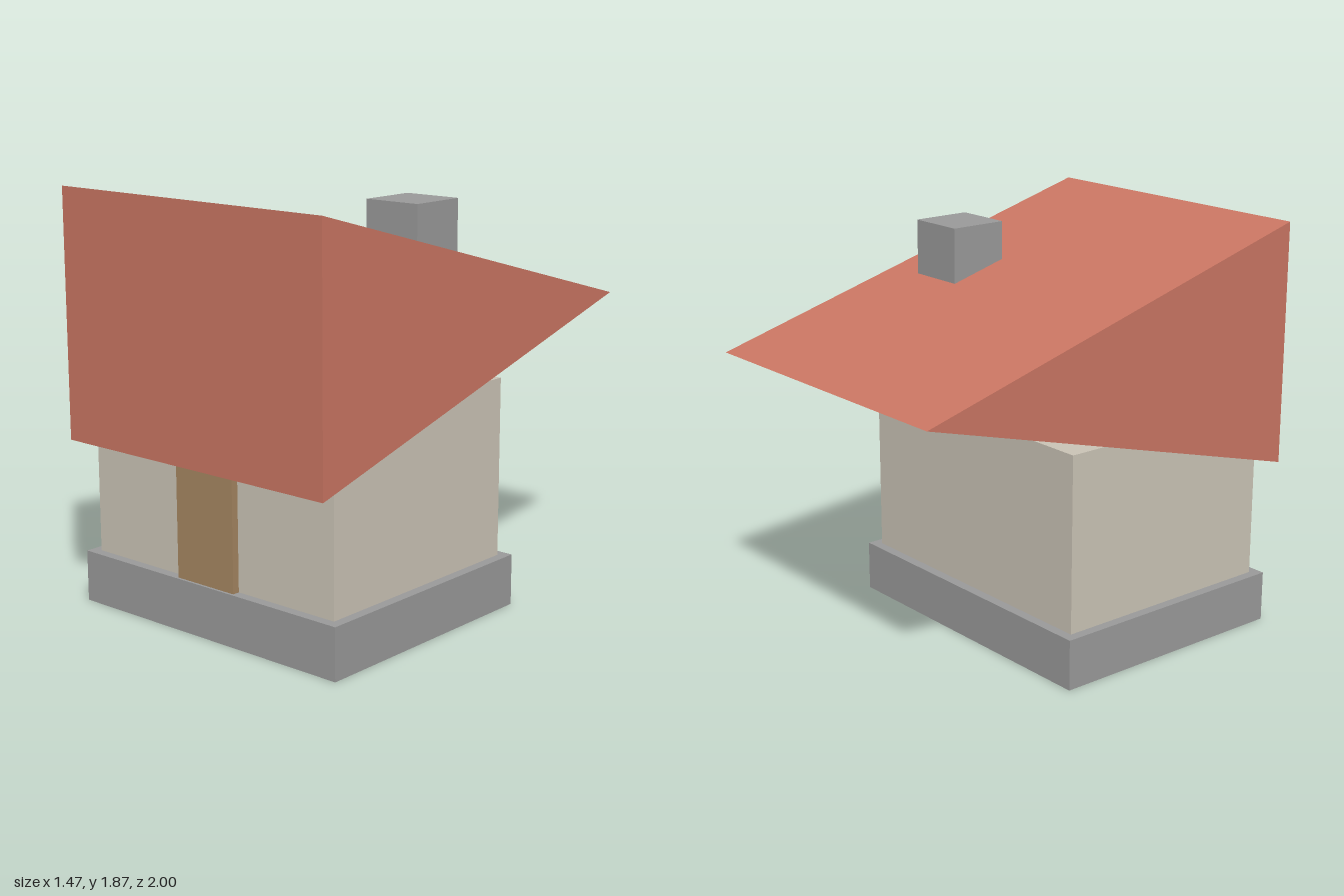
import * as THREE from 'three';

const material = (name, color) => {
  const m = new THREE.MeshStandardMaterial({ color });
  m.name = name;
  return m;
};

export function createModel() {
  const house = new THREE.Group();
  house.name = 'house';
  const stone = material('grey stone', 0x999999);
  const plaster = material('cream plaster', 0xcac3b5);
  const wood = material('brown wood', 0xa48560);
  const tile = material('red tile', 0xc97562);

  // Box given by its low and high corners
  const box = (name, mat, [x0, y0, z0], [x1, y1, z1]) => {
    const mesh = new THREE.Mesh(new THREE.BoxGeometry(x1 - x0, y1 - y0, z1 - z0), mat);
    mesh.position.set((x0 + x1) / 2, (y0 + y1) / 2, (z0 + z1) / 2);
    mesh.name = name;
    house.add(mesh);
  };

  box('foundation', stone, [-0.735, 0, -0.262], [0.735, 0.232, 0.93]);
  box('walls', plaster, [-0.69, 0.232, -0.216], [0.69, 1.038, 0.885]);
  box('door', wood, [-0.163, 0.232, 0.87], [0.163, 0.82, 0.918]);
  box('chimney', stone, [0.273, 1.0, -0.08], [0.547, 1.82, 0.195]);

  // Wedge roof: tall face at the front, tapering to an edge at the back
  const profile = new THREE.Shape([
    new THREE.Vector2(-1, 0.758),
    new THREE.Vector2(1, 1.314),
    new THREE.Vector2(-1, 1.87),
  ]);
  const wedge = new THREE.ExtrudeGeometry(profile, { depth: 1.47, bevelEnabled: false });
  wedge.translate(0, 0, -0.735).rotateY(Math.PI / 2);
  const roof = new THREE.Mesh(wedge, tile);
  roof.name = 'roof';
  house.add(roof);

  return house;
}
